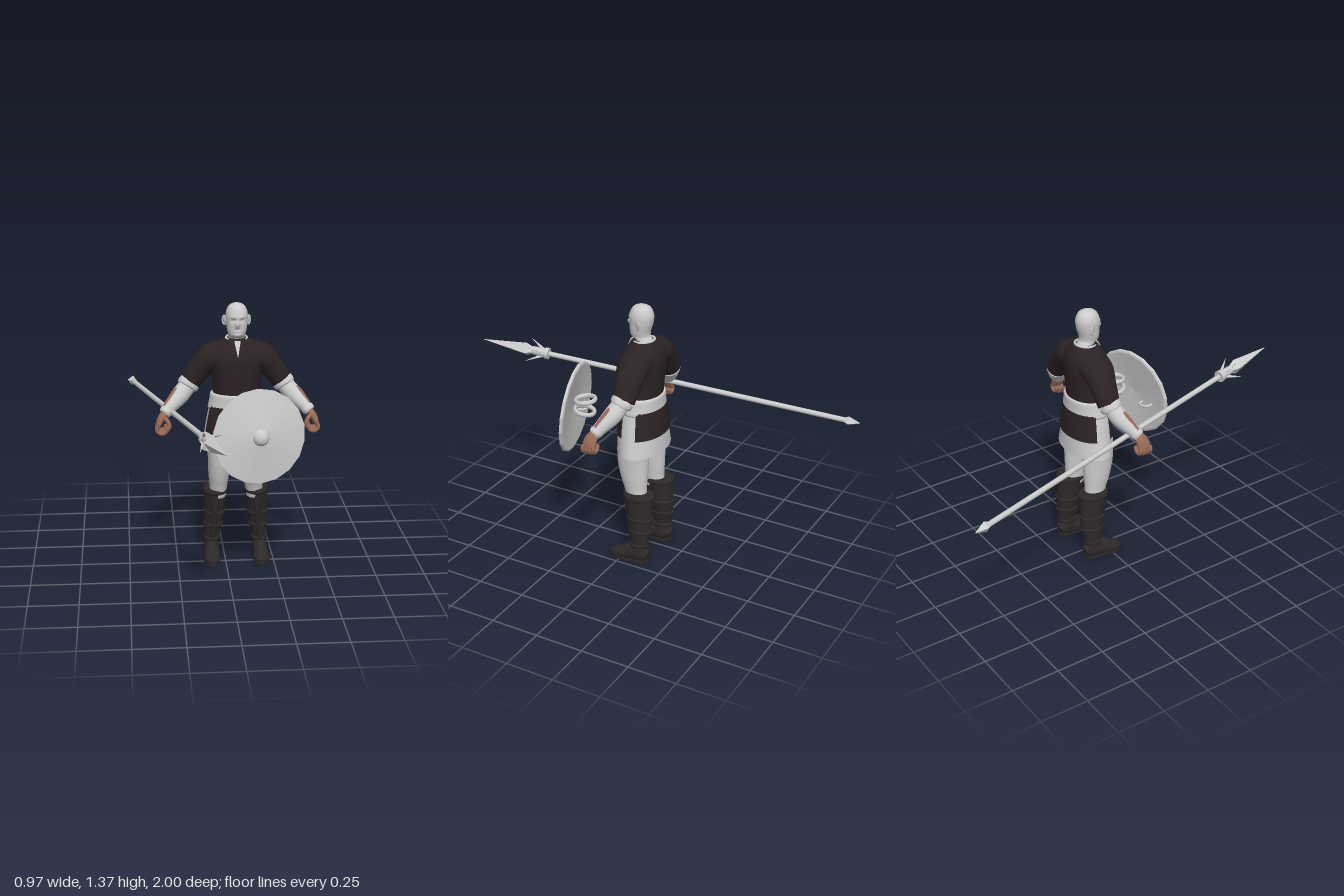
import * as THREE from 'three';

const V = (x, y, z) => new THREE.Vector3(x, y, z);
const mat = (color, extra = {}) => new THREE.MeshStandardMaterial({ color, ...extra });
const grey = mat(0xcccccc), greyOpen = mat(0xcccccc, { side: THREE.DoubleSide });
const greyFlat = mat(0xcccccc, { flatShading: true });
const cloth = mat(0x2c2224, { side: THREE.DoubleSide });
const leather = mat(0x2d2928, { side: THREE.DoubleSide });
const skin = mat(0x9a6b58);
const CX = 0.058; // body centre line

function add(parent, name, geo, material, pos) {
  const m = new THREE.Mesh(geo, material);
  m.name = name;
  if (pos) m.position.set(...pos);
  parent.add(m);
  return m;
}

// Smooth skin over elliptical rings [x, y, z, ru, rv]; level rings stay horizontal
function loft(rings, { seg = 24, steps = 24, level = true, ref = V(0, 0, 1), from = 0, arc = Math.PI * 2, caps = true, shape } = {}) {
  const path = new THREE.CatmullRomCurve3(rings.map(r => V(r[0], r[1], r[2])), false, 'catmullrom', 0.5);
  const radii = new THREE.CatmullRomCurve3(rings.map(r => V(r[3], r[4], 0)), false, 'catmullrom', 0.5);
  const closed = arc > 6.28, n = closed ? seg : seg + 1;
  const pos = [], idx = [];
  for (let i = 0; i <= steps; i++) {
    const c = path.getPoint(i / steps), r = radii.getPoint(i / steps);
    const t = level ? V(0, 1, 0) : path.getTangent(i / steps);
    const v = ref.clone().addScaledVector(t, -ref.dot(t)).normalize();
    const u = t.clone().cross(v);
    for (let j = 0; j < n; j++) {
      const a = from + arc * j / seg;
      const p = c.clone().addScaledVector(u, Math.cos(a) * r.x).addScaledVector(v, Math.sin(a) * r.y);
      if (shape) shape(p);
      pos.push(p.x, p.y, p.z);
    }
  }
  for (let i = 0; i < steps; i++) for (let j = 0; j < seg; j++) {
    const a = i * n + j, b = i * n + (j + 1) % n;
    idx.push(a, a + n, b, b, a + n, b + n);
  }
  if (closed && caps) for (const end of [0, steps]) {
    const base = pos.length / 3, ring = pos.slice(end * n * 3, (end + 1) * n * 3);
    const c = [0, 1, 2].map(k => ring.reduce((s, q, i) => s + (i % 3 === k ? q : 0), 0) / n);
    pos.push(...ring, ...c);
    for (let j = 0; j < n; j++) {
      const a = base + j, b = base + (j + 1) % n;
      idx.push(...(end ? [b, a, base + n] : [a, b, base + n]));
    }
  }
  const g = new THREE.BufferGeometry();
  g.setAttribute('position', new THREE.Float32BufferAttribute(pos, 3));
  g.setIndex(idx);
  g.computeVertexNormals();
  return g;
}
const column = (rows, opt) => loft(rows.map(([y, z, rx, rz, x = 0]) => [x, y, z, rx, rz]), opt);
const tube = (pts, r, seg = 12) => new THREE.TubeGeometry(new THREE.CatmullRomCurve3(pts.map(p => V(...p))), seg, r, 8);

// Face relief made of soft bumps [x, y, width, height, depth]
function face(p) {
  if (p.z < -0.03) return;
  const bumps = [[0, 1.265, 0.008, 0.017, 0.02], [0.021, 1.284, 0.012, 0.008, -0.009], [0.02, 1.301, 0.02, 0.007, 0.004],
    [0, 1.238, 0.02, 0.004, -0.004], [0, 1.231, 0.016, 0.005, 0.004], [0, 1.21, 0.016, 0.01, 0.006]];
  let d = 0;
  for (const [x, y, w, h, k] of bumps) d += k * Math.exp(-(((Math.abs(p.x) - x) / w) ** 2) - ((p.y - y) / h) ** 2);
  p.z += d;
}

function buildHead(body) {
  add(body, 'head', column([[1.13, -0.058, 0.055, 0.05], [1.185, -0.055, 0.044, 0.043], [1.205, -0.038, 0.043, 0.05],
    [1.23, -0.036, 0.049, 0.053], [1.27, -0.041, 0.054, 0.06], [1.31, -0.043, 0.055, 0.062], [1.342, -0.044, 0.045, 0.05],
    [1.358, -0.045, 0.027, 0.032], [1.365, -0.045, 0.004, 0.004]], { seg: 48, steps: 56, shape: face }), grey);
  for (const s of [-1, 1]) {
    const ear = add(body, 'ear', new THREE.SphereGeometry(1, 12, 10), grey, [s * 0.058, 1.272, -0.052]);
    ear.scale.set(0.007, 0.026, 0.017);
    ear.rotation.set(-0.2, s * -0.5, s * -0.25);
    const rim = add(body, 'earRim', new THREE.TorusGeometry(0.016, 0.004, 6, 14), grey, [s * 0.062, 1.275, -0.053]);
    rim.scale.y = 1.4;
    rim.rotation.y = Math.PI / 2 - s * 0.5;
  }
}

function buildTorso(body) {
  add(body, 'tunic', column([[0.87, -0.052, 0.124, 0.092], [0.95, -0.053, 0.12, 0.098], [1.02, -0.053, 0.132, 0.104],
    [1.08, -0.054, 0.146, 0.105], [1.125, -0.057, 0.137, 0.095], [1.155, -0.06, 0.11, 0.079], [1.178, -0.06, 0.068, 0.064],
    [1.187, -0.058, 0.048, 0.052]], { seg: 32 }), cloth);
  const collar = add(body, 'collar', new THREE.TorusGeometry(0.052, 0.007, 8, 28), grey, [0, 1.182, -0.056]);
  collar.rotation.x = Math.PI / 2 + 0.12;
  // Neck opening
  const slit = new THREE.Shape([new THREE.Vector2(-0.016, 0), new THREE.Vector2(0, -0.088), new THREE.Vector2(0.016, 0)]);
  const opening = add(body, 'neckOpening', new THREE.ExtrudeGeometry(slit, { depth: 0.006, bevelEnabled: false }), grey, [0, 1.178, 0.006]);
  opening.rotation.x = -0.47;
  // Belt, skirt and the dark panels at front and back
  add(body, 'belt', column([[0.82, -0.052, 0.142, 0.1], [0.832, -0.052, 0.146, 0.106], [0.865, -0.052, 0.139, 0.105],
    [0.898, -0.052, 0.134, 0.104], [0.906, -0.052, 0.126, 0.097]], { seg: 32 }), grey);
  const skirt = [[0.84, -0.052, 0.138, 0.1], [0.77, -0.053, 0.152, 0.108], [0.7, -0.055, 0.164, 0.112], [0.605, -0.06, 0.183, 0.114]].reverse();
  add(body, 'skirt', column(skirt, { seg: 32, caps: false }), greyOpen);
  const panel = skirt.slice(1).map(([y, z, a, b]) => [y, z, a + 0.006, b + 0.007]);
  for (const turn of [0, Math.PI])
    add(body, 'skirtPanel', column(panel, { seg: 24, from: turn + 0.33, arc: Math.PI - 0.66 }), cloth);
}

function buildArm(s) {
  const arm = new THREE.Group();
  arm.name = s > 0 ? 'leftArm' : 'rightArm';
  const limb = rows => loft(rows.map(([x, y, z, a, b = a]) => [s * x, y, z, a, b]), { level: false, seg: 20 });
  add(arm, 'sleeve', limb([[0.045, 1.1, -0.06, 0.06, 0.08], [0.115, 1.088, -0.065, 0.072, 0.084], [0.18, 1.03, -0.072, 0.062, 0.068],
    [0.236, 0.95, -0.075, 0.054, 0.056]]), cloth);
  add(arm, 'cuff', limb([[0.23, 0.958, -0.074, 0.05], [0.236, 0.951, -0.071, 0.056], [0.248, 0.936, -0.066, 0.055], [0.252, 0.93, -0.064, 0.048]]), grey);
  add(arm, 'bracer', limb([[0.235, 0.95, -0.072, 0.043], [0.285, 0.893, -0.045, 0.046], [0.335, 0.845, -0.012, 0.036], [0.368, 0.81, 0.01, 0.028]]), grey);
  add(arm, 'bracerLacing', limb([[0.272, 0.935, -0.053, 0.012, 0.016], [0.305, 0.91, -0.033, 0.022, 0.017], [0.345, 0.862, -0.006, 0.019, 0.015],
    [0.375, 0.818, 0.013, 0.016, 0.014]]), skin);
  add(arm, 'wristBand', limb([[0.352, 0.829, 0, 0.033], [0.36, 0.82, 0.006, 0.034], [0.366, 0.812, 0.01, 0.03]]), grey);
  // Half-closed hand
  add(arm, 'palm', limb([[0.362, 0.818, 0.007, 0.02, 0.025], [0.385, 0.79, 0.02, 0.019, 0.034], [0.399, 0.758, 0.026, 0.015, 0.035], [0.402, 0.745, 0.027, 0.008, 0.03]]), skin);
  for (let i = 0; i < 4; i++) {
    const z = -0.002 + i * 0.019, k = [0.82, 0.95, 1, 0.95][i];
    const at = (x, y) => [s * (0.4 + x * k), 0.762 + y * k, z];
    add(arm, 'finger', tube([at(0, 0), at(0.009, -0.025), at(-0.01, -0.045), at(-0.036, -0.04), at(-0.048, -0.018)], 0.0098), skin);
    add(arm, 'fingertip', new THREE.SphereGeometry(0.0098, 8, 6), skin, at(-0.048, -0.018));
  }
  add(arm, 'thumb', tube([[s * 0.375, 0.802, 0.034], [s * 0.354, 0.785, 0.052], [s * 0.345, 0.758, 0.058], [s * 0.355, 0.738, 0.056]], 0.0105), skin);
  add(arm, 'thumbTip', new THREE.SphereGeometry(0.0105, 8, 6), skin, [s * 0.355, 0.738, 0.056]);
  return arm;
}

function buildLeg(s) {
  const leg = new THREE.Group();
  leg.name = s > 0 ? 'leftLeg' : 'rightLeg';
  const rows = a => a.map(([y, z, rx, rz, x]) => [y, z, rx, rz, s * x]);
  add(leg, 'thigh', column(rows([[0.34, -0.07, 0.042, 0.055, 0.095], [0.4, -0.06, 0.046, 0.06, 0.092], [0.47, -0.05, 0.054, 0.074, 0.09],
    [0.56, -0.043, 0.06, 0.085, 0.087], [0.66, -0.046, 0.068, 0.088, 0.084], [0.76, -0.05, 0.07, 0.085, 0.075]])), grey);
  const shaft = [[0.03, -0.098, 0.036, 0.047, 0.126], [0.08, -0.096, 0.036, 0.049, 0.125], [0.13, -0.1, 0.039, 0.052, 0.122],
    [0.19, -0.1, 0.047, 0.06, 0.116], [0.25, -0.096, 0.054, 0.066, 0.111], [0.32, -0.09, 0.058, 0.073, 0.109], [0.385, -0.084, 0.061, 0.08, 0.106]];
  add(leg, 'bootShaft', column(rows(shaft)), leather);
  // Straps and rolled top
  for (const [y, z, rx, rz, x, h] of [[0.372, -0.085, 0.06, 0.079, 0.106, 0.014], [0.25, -0.096, 0.055, 0.067, 0.111, 0.011],
    [0.18, -0.1, 0.046, 0.06, 0.117, 0.009], [0.1, -0.097, 0.037, 0.05, 0.124, 0.01]])
    add(leg, 'bootStrap', column(rows([[y - h, z, rx - 0.002, rz - 0.002, x], [y - h / 2, z, rx + 0.005, rz + 0.005, x],
      [y + h / 2, z, rx + 0.005, rz + 0.005, x], [y + h, z, rx - 0.002, rz - 0.002, x]]), { steps: 9 }), leather);
  add(leg, 'shinGuard', column(rows([[0.09, -0.05, 0.008, 0.01, 0.124], [0.14, -0.048, 0.014, 0.013, 0.121], [0.23, -0.036, 0.017, 0.014, 0.112],
    [0.31, -0.022, 0.02, 0.013, 0.109], [0.345, -0.015, 0.008, 0.009, 0.108]]), { seg: 8 }), leather);
  // Foot, flat underneath, over a sole
  const flat = p => { p.y = Math.max(p.y, 0.008); };
  add(leg, 'foot', loft([[s * 0.126, 0.035, -0.147, 0.022, 0.03], [s * 0.126, 0.045, -0.12, 0.036, 0.045], [s * 0.126, 0.045, -0.06, 0.037, 0.05],
    [s * 0.128, 0.03, -0.005, 0.04, 0.037], [s * 0.129, 0.02, 0.04, 0.038, 0.025], [s * 0.129, 0.016, 0.066, 0.016, 0.011]],
  { level: false, ref: V(0, 1, 0), shape: flat }), leather);
  const outline = new THREE.Shape();
  outline.setFromPoints(new THREE.SplineCurve([[0, 0.148], [0.032, 0.13], [0.033, 0.07], [0.041, 0], [0.035, -0.045], [0, -0.068], [-0.035, -0.045],
    [-0.041, 0], [-0.033, 0.07], [-0.032, 0.13], [0, 0.148]].map(q => new THREE.Vector2(q[0], -q[1]))).getPoints(40));
  const sole = add(leg, 'sole', new THREE.ExtrudeGeometry(outline, { depth: 0.012, bevelEnabled: false }), leather, [s * 0.128, 0.012, 0]);
  sole.rotation.x = Math.PI / 2;
  add(leg, 'heel', new THREE.BoxGeometry(0.06, 0.016, 0.05), leather, [s * 0.127, 0.008, -0.115]);
  return leg;
}

function buildShield() {
  const shield = new THREE.Group();
  shield.name = 'shield';
  const lathe = (pts, n) => new THREE.LatheGeometry(pts.map(p => new THREE.Vector2(...p)), n).rotateX(Math.PI / 2);
  add(shield, 'shieldFace', lathe([[0, 0.004], [0.225, -0.016], [0.235, -0.012], [0.236, 0], [0.036, 0.028], [0, 0.03]], 18), greyFlat);
  add(shield, 'boss', lathe([[0.043, 0.024], [0.041, 0.032], [0.034, 0.046], [0.02, 0.055], [0, 0.058]], 24), grey);
  // Arm loop and hand grip on the inside
  for (const y of [0.025, 0.085]) {
    const loop = add(shield, 'armLoop', new THREE.TorusGeometry(0.05, 0.01, 8, 24), grey, [0.065, y, -0.075]);
    loop.rotation.set(Math.PI / 2 + (y > 0.05 ? 0.2 : -0.1), 0, 0);
    loop.scale.z = 1.3;
  }
  add(shield, 'handGrip', tube([[-0.13, -0.035, -0.004], [-0.125, -0.035, -0.03], [-0.095, -0.04, -0.04], [-0.065, -0.045, -0.03], [-0.06, -0.045, 0]], 0.007), grey);
  shield.position.set(0.143, 0.772, 0.3);
  shield.rotation.set(-0.09, 0.225, 0, 'YXZ');
  return shield;
}

function buildSpear() {
  const spear = new THREE.Group();
  spear.name = 'spear';
  const butt = V(-0.475, 0.724, -1), tip = V(-0.07, 0.912, 1), L = butt.distanceTo(tip);
  const cyl = (name, y0, y1, r0, r1, n, m = greyFlat) => add(spear, name, new THREE.CylinderGeometry(r1, r0, y1 - y0, n), m, [0, (y0 + y1) / 2, 0]);
  cyl('shaft', 0.05, L - 0.25, 0.0135, 0.0135, 10, grey);
  cyl('buttSpike', 0, 0.06, 0.002, 0.028, 4);
  cyl('buttCollar', 0.06, 0.08, 0.028, 0.016, 4);
  cyl('socket', L - 0.37, L - 0.28, 0.026, 0.022, 10, grey);
  cyl('socketRing', L - 0.375, L - 0.355, 0.031, 0.031, 10, grey);
  cyl('bladeBase', L - 0.29, L - 0.25, 0.018, 0.04, 4);
  cyl('blade', L - 0.25, L, 0.04, 0.001, 4);
  // Four barbs flaring forward
  for (let i = 0; i < 4; i++) {
    const barb = add(spear, 'barb', new THREE.ConeGeometry(0.011, 0.1, 4).translate(0, 0.05, 0), greyFlat);
    const a = i * Math.PI / 2 + Math.PI / 4, d = V(Math.cos(a), 0, Math.sin(a));
    barb.position.copy(d).multiplyScalar(0.018).setY(L - 0.34);
    barb.quaternion.setFromUnitVectors(V(0, 1, 0), d.multiplyScalar(0.55).setY(1).normalize());
  }
  spear.position.copy(butt);
  spear.quaternion.setFromUnitVectors(V(0, 1, 0), tip.clone().sub(butt).normalize());
  return spear;
}

export function createModel() {
  const model = new THREE.Group();
  model.name = 'spearman';
  const body = new THREE.Group();
  body.name = 'body';
  body.position.x = CX;
  buildHead(body);
  buildTorso(body);
  for (const s of [-1, 1]) body.add(buildArm(s), buildLeg(s));
  model.add(body, buildShield(), buildSpear());
  return model;
}
